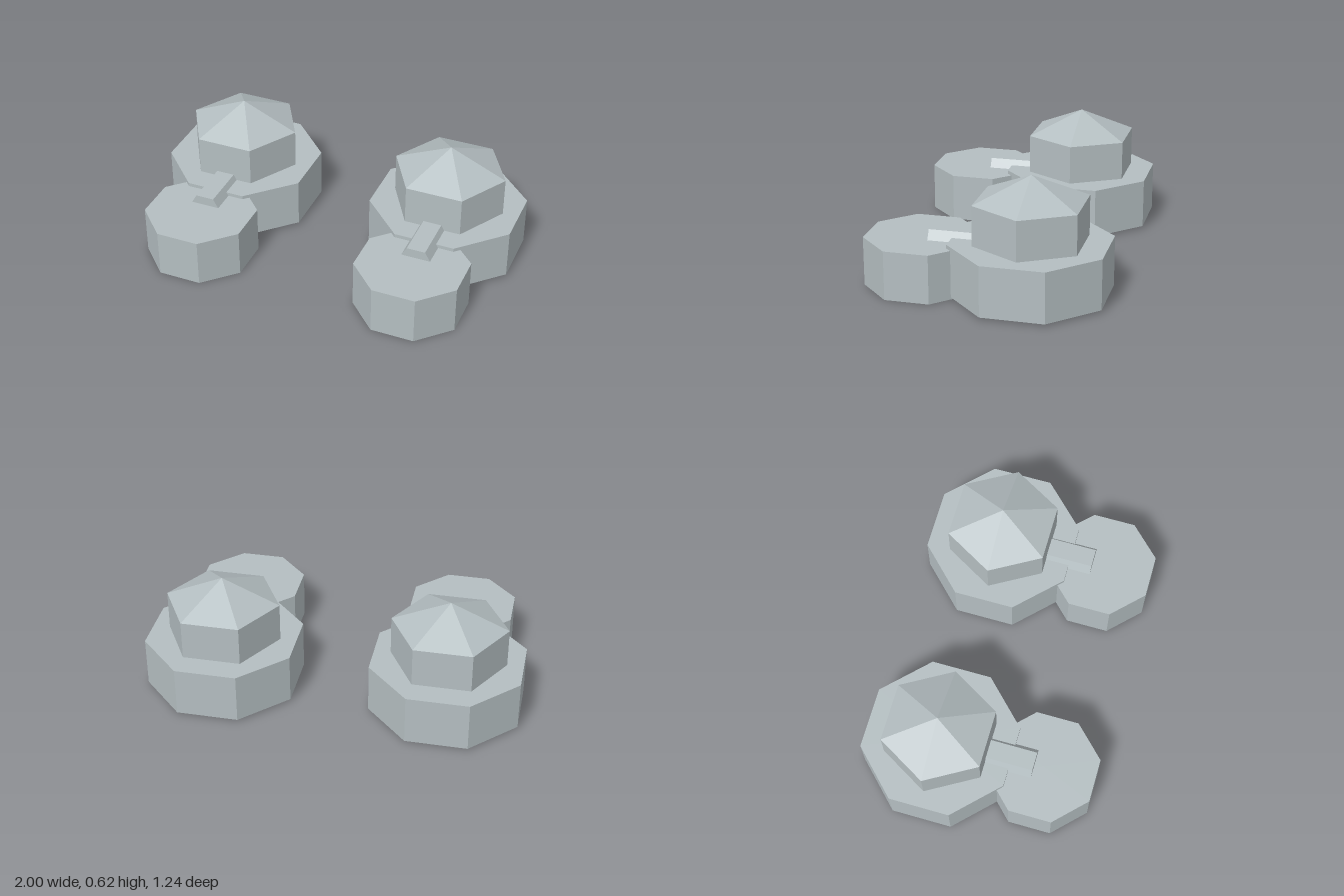
import * as THREE from 'three';

export function createModel() {
  const model = new THREE.Group();
  model.name = 'twinBunkers';
  const concrete = new THREE.MeshStandardMaterial({ color: 0xb4bec1, flatShading: true });
  concrete.name = 'pale grey concrete';

  // Upright prism with a flat side facing the front, from y0 to y1
  function prism(name, sides, bottomRadius, topRadius, y0, y1, z) {
    const geometry = new THREE.CylinderGeometry(
      topRadius, bottomRadius, y1 - y0, sides, 1, false, Math.PI / sides);
    const mesh = new THREE.Mesh(geometry, concrete);
    mesh.name = name;
    mesh.position.set(0, (y0 + y1) / 2, z);
    return mesh;
  }

  function createBunker(name) {
    const bunker = new THREE.Group();
    bunker.name = name;

    // Octagonal main block and the smaller one in front of it
    bunker.add(prism('mainBase', 8, 0.427, 0.427, 0.012, 0.28, -0.23));
    bunker.add(prism('frontBase', 8, 0.303, 0.303, 0, 0.26, 0.34));

    // Hexagonal tower with a pointed roof
    bunker.add(prism('tower', 6, 0.307, 0.307, 0.27, 0.492, -0.23));
    bunker.add(prism('roof', 6, 0.307, 0, 0.492, 0.625, -0.23));

    // Half-sunk hexagonal passage joining the two blocks
    const passage = prism('passage', 6, 0.1, 0.1, 0, 0.27, 0);
    passage.geometry.rotateX(Math.PI / 2);
    passage.position.set(0, 0.223, 0.155);
    bunker.add(passage);
    return bunker;
  }

  // Matching pair, one on each side
  for (const side of [-1, 1]) {
    const bunker = createBunker(side > 0 ? 'leftBunker' : 'rightBunker');
    bunker.position.x = side * 0.605;
    model.add(bunker);
  }
  return model;
}
